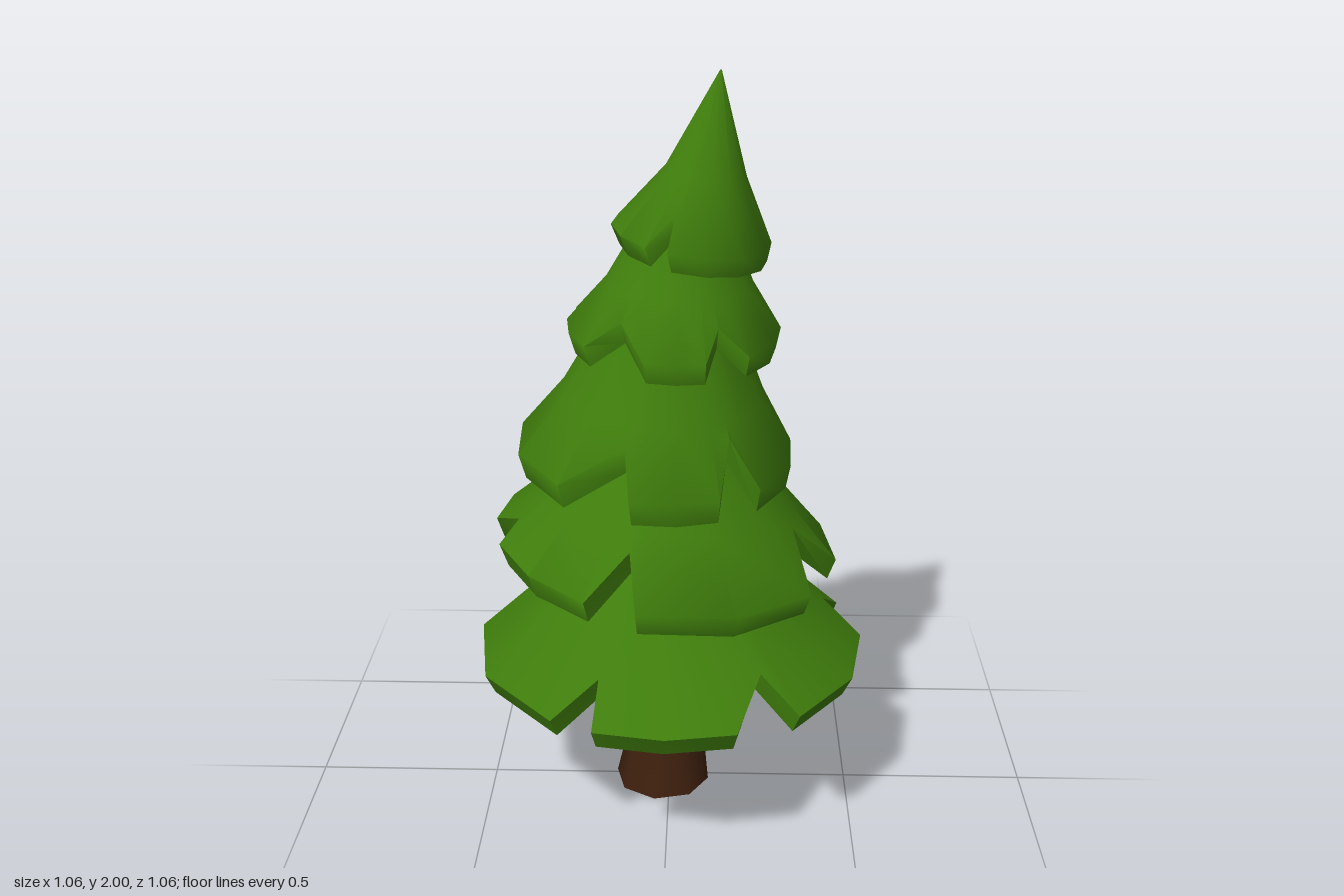
import * as THREE from 'three';
import { mergeVertices, toCreasedNormals } from 'three/addons/utils/BufferGeometryUtils.js';

// Joins equal-length rings of [x, y, z] points into a skin, from the top outside downward
function skin(rings, crease, capEnd = false) {
  const n = rings[0].length;
  const index = [];
  for (let i = 0; i < rings.length - 1; i++) {
    for (let j = 0; j < n; j++) {
      const a = i * n + j, b = i * n + ((j + 1) % n);
      index.push(a, b, a + n, b, b + n, a + n);
    }
  }
  if (capEnd) {
    const s = (rings.length - 1) * n;
    for (let j = 1; j < n - 1; j++) index.push(s, s + j, s + j + 1);
  }
  const g = new THREE.BufferGeometry();
  g.setAttribute('position', new THREE.Float32BufferAttribute(rings.flat(2), 3));
  g.setIndex(index);
  return toCreasedNormals(mergeVertices(g), crease);
}

const mix = (a, b, t) => a + (b - a) * t;

// Rim outline as [angle, notch depth]: a V notch at each given angle, even facets between
function rimOutline(notches) {
  const points = [];
  notches.forEach(([degrees, depth, , after], i) => {
    const next = notches[(i + 1) % notches.length];
    const turn = i + 1 < notches.length ? 0 : 360;
    const start = degrees + after;
    const end = next[0] + turn - next[2];
    const facets = Math.max(2, Math.round((end - start) / 29));
    points.push([THREE.MathUtils.degToRad(degrees), depth]);
    for (let k = 0; k <= facets; k++) points.push([THREE.MathUtils.degToRad(mix(start, end, k / facets)), 0]);
  });
  return points;
}

// Hollow, thick-rimmed skirt of boughs; tilt slopes the rim along x and z, sag makes it concave
function tierGeometry({ x, z, radius, rim, tilt, lip, sag, neck, neckRadius, notches }) {
  const columns = rimOutline(notches).map(([angle, depth]) => {
    const c = Math.cos(angle), s = Math.sin(angle);
    const px = x + radius * c, pz = z + radius * s;
    const py = rim + tilt.x * px + tilt.z * pz;
    const tx = neck.x + neckRadius * c, tz = neck.z + neckRadius * s;
    // Point on the skirt, t = 0 at the rim and 1 at the neck, lowered by drop
    const at = (t, drop) => [
      mix(px, tx, t),
      mix(py, neck.y, t) - sag * (1 - Math.abs(2 * t - 1)) - drop,
      mix(pz, tz, t),
    ];
    const cut = depth / (radius - neckRadius);
    return [
      at(1, 0),
      at(Math.max(0.5, cut + 0.05), 0),
      at(cut, 0),
      at(cut + 0.08, lip + 0.02),
      at(cut + 0.2, lip + 0.015),
      at(0.85, 0.08),
      [neck.x + 0.01 * c, neck.y - 0.1, neck.z + 0.01 * s],
    ];
  });
  return skin(columns[0].map((_, i) => columns.map((col) => col[i])), 1.05);
}

// Flared, slightly bent trunk with a closed base
function trunkGeometry() {
  const sides = 8;
  const sections = [[0, 0.76, 0, 0.06], [-0.005, 0.4, -0.005, 0.077], [-0.005, 0.21, -0.01, 0.096], [-0.02, 0, 0.005, 0.132]];
  const rings = sections.map(([x, y, z, r]) => Array.from({ length: sides }, (_, j) => {
    const a = (j / sides) * Math.PI * 2 + 0.15;
    return [x + r * Math.cos(a), y, z + r * Math.sin(a)];
  }));
  return skin(rings, 0.9, true);
}

export function createModel() {
  const needles = new THREE.MeshStandardMaterial({ color: 0x3f7d0c });
  needles.name = 'needleGreen';
  const bark = new THREE.MeshStandardMaterial({ color: 0x3e200e });
  bark.name = 'barkBrown';

  const tree = new THREE.Group();
  tree.name = 'pineTree';
  const add = (name, geometry, material) => {
    const mesh = new THREE.Mesh(geometry, material);
    mesh.name = name;
    tree.add(mesh);
  };

  add('trunk', trunkGeometry(), bark);

  // Notches are [degrees from +x toward +z, depth, degrees to the corner before, and after]
  add('bottomBoughs', tierGeometry({
    x: 0, z: 0, radius: 0.535, rim: 0.435, tilt: { x: 0, z: 0 }, lip: 0.06, sag: 0.015,
    neck: { x: 0, y: 0.78, z: 0 }, neckRadius: 0.2,
    notches: [[-100, 0.07, 8, 22], [-10, 0.1, 16, 6], [56, 0.1, 6, 14], [113, 0.1, 3, 10]],
  }), needles);
  add('lowerBoughs', tierGeometry({
    x: -0.01, z: -0.04, radius: 0.465, rim: 0.73, tilt: { x: -0.1, z: -0.04 }, lip: 0.065, sag: 0.015,
    neck: { x: 0, y: 1.07, z: 0 }, neckRadius: 0.18,
    notches: [[20, 0.11, 15, 14], [104, 0.11, 6, 11], [165, 0.06, 4, 15], [225, 0.09, 5, 8]],
  }), needles);
  add('middleBoughs', tierGeometry({
    x: -0.04, z: -0.02, radius: 0.372, rim: 1.01, tilt: { x: -0.05, z: -0.06 }, lip: 0.07, sag: 0.03,
    neck: { x: 0, y: 1.38, z: 0 }, neckRadius: 0.17,
    notches: [[-69, 0.08, 22, 4], [52, 0.08, 10, 10], [105, 0.07, 7, 24], [203, 0.08, 10, 15]],
  }), needles);
  add('upperBoughs', tierGeometry({
    x: 0.01, z: -0.01, radius: 0.278, rim: 1.345, tilt: { x: -0.03, z: -0.08 }, lip: 0.055, sag: 0.03,
    neck: { x: 0.04, y: 1.65, z: 0 }, neckRadius: 0.1,
    notches: [[-18, 0.05, 14, 16], [62, 0.05, 16, 10], [126, 0.05, 22, 16], [187, 0.07, 4, 13]],
  }), needles);
  add('crown', tierGeometry({
    x: 0.055, z: 0.005, radius: 0.203, rim: 1.6, tilt: { x: -0.13, z: -0.07 }, lip: 0.055, sag: 0.045,
    neck: { x: 0.125, y: 2, z: 0.03 }, neckRadius: 0.002,
    notches: [[-86, 0.06, 20, 10], [-16, 0.04, 10, 14], [111, 0.05, 5, 12]],
  }), needles);

  return tree;
}
